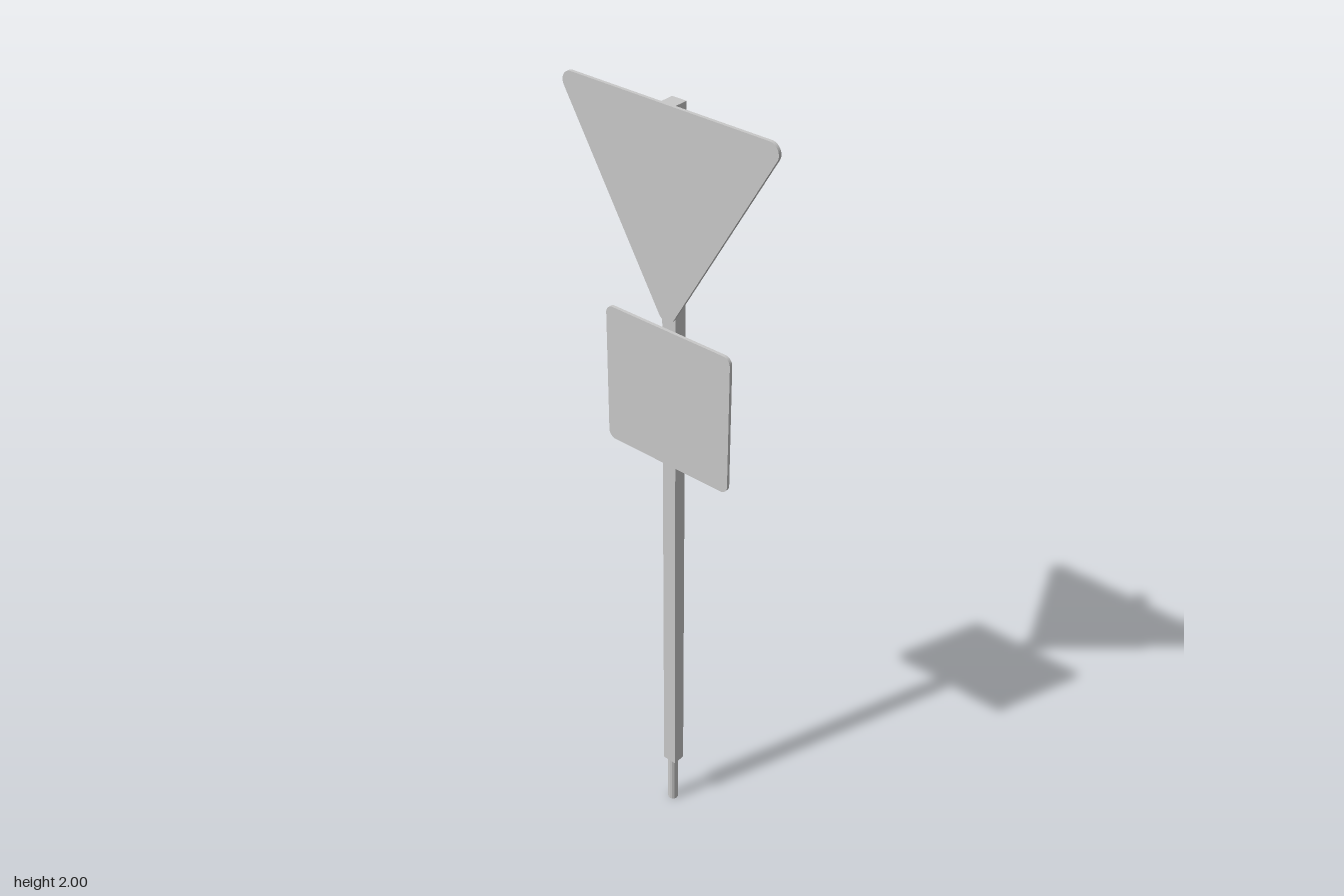
import * as THREE from 'three';

const PLATE_BACK = 0.0125, PLATE_DEPTH = 0.008, POST_BACK = -0.021;

// Convex polygon grown outward by r from counter-clockwise corner centres, with round corners
function roundedShape(centres, r) {
  const shape = new THREE.Shape();
  const n = centres.length;
  const normalAngle = (a, b) => Math.atan2(b[1] - a[1], b[0] - a[0]) - Math.PI / 2;
  centres.forEach((c, i) => {
    const start = normalAngle(centres[(i + n - 1) % n], c);
    const end = normalAngle(c, centres[(i + 1) % n]);
    shape.absarc(c[0], c[1], r, start, end, false);
  });
  shape.closePath();
  return shape;
}

export function createModel() {
  const model = new THREE.Group();
  model.name = 'signPost';
  const metal = new THREE.MeshStandardMaterial({ color: 0xc9c9c9 });
  metal.name = 'light grey metal';

  const add = (name, geometry, x, y, z) => {
    const mesh = new THREE.Mesh(geometry, metal);
    mesh.name = name;
    mesh.position.set(x, y, z);
    model.add(mesh);
  };
  const plate = (shape) => new THREE.ExtrudeGeometry(shape, {
    depth: PLATE_DEPTH, bevelEnabled: false, curveSegments: 8,
  });

  // Square post on a thin faceted ground peg
  const postDepth = PLATE_BACK - POST_BACK;
  const postZ = (PLATE_BACK + POST_BACK) / 2;
  add('post', new THREE.BoxGeometry(0.038, 1.854, postDepth), 0, 1.073, postZ);
  const peg = new THREE.CylinderGeometry(0.0135, 0.0135, 0.146, 12).toNonIndexed();
  peg.computeVertexNormals();
  add('groundPeg', peg, 0, 0.073, -0.002);

  // Downward-pointing triangular sign
  const r = 0.024, w = 0.286 - r, top = 2 - r;
  add('triangleSign',
    plate(roundedShape([[0, top - w * Math.sqrt(3)], [w, top], [-w, top]], r)),
    0, 0, PLATE_BACK);

  // Square sign below it
  const q = 0.02, h = 0.179 - q;
  add('squareSign',
    plate(roundedShape([[-h, -h], [h, -h], [h, h], [-h, h]], q)),
    0, 1.297, PLATE_BACK);

  return model;
}
